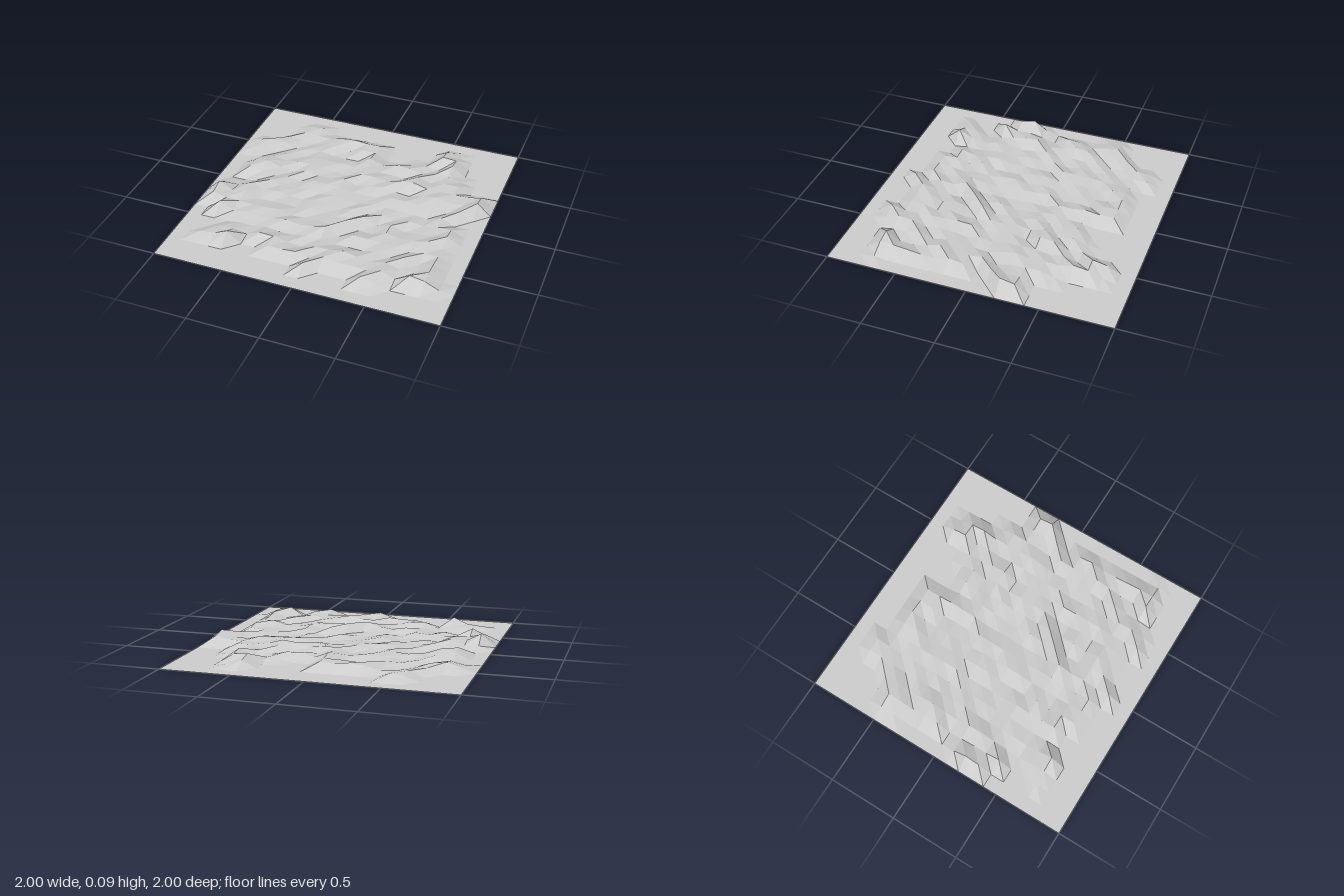
import * as THREE from 'three';

const CELLS = 20;

// Spans of raised ground per row, in tenths of a unit: row z -> [from x, to x] pairs
const spans = {
  '-8': [[-6, -5], [5, 6]], '-7': [[-6, 0], [5, 6]], '-6': [[-7, 0], [3, 6]],
  '-5': [[-9, 7]], '-4': [[-9, 7]], '-3': [[-8, 9]], '-2': [[-8, 9]],
  '-1': [[-8, 8]], 0: [[-7, 7]], 1: [[-9, 8]], 2: [[-9, 8]], 3: [[-9, 8]],
  4: [[-8, 8]], 5: [[-6, 8]], 6: [[-7, 8]], 7: [[-8, -6], [-3, 9]],
  8: [[0, 0], [4, 5]],
};

// Crests as runs of [x, z in tenths, height in hundredths]
const crests = [
  [[-6, -8, 3], [-5, -8, 4], [-6, -7, 4]],                     // back left shelf
  [[-3, -7, 5], [-2, -7, 6], [-1, -7, 5], [0, -6, 5], [0, -5, 6.5], [0, -4, 5]],
  [[5, -8, 5], [5, -7, 7], [6, -7, 6], [6, -6, 7.5]],          // back right hill
  [[-9, -5, 3], [-8, -5, 6]],
  [[3, -3, 6.5], [4, -3, 7.5], [4, -4, 6]],                    // middle crest
  [[6, -2, 6.5], [9, -3, 7], [9, -2, 9], [8, -1, 6]],          // right edge hill
  [[-7, -2, 7], [-8, -1, 6]],
  [[-9, 2, 9.5], [-9, 3, 7], [-8, 4, 8]],                      // left edge hill
  [[-6, 0, 5], [-7, 1, 6.5], [-7, 2, 6]],
  [[0, 4, 7.5], [1, 3, 8], [2, 2, 7]],                         // central diagonal ridge
  [[0, 8, 6], [1, 7, 6], [2, 6, 6.5]],                         // front diagonal ridge
  [[-4, 6, 5.5], [-6, 7, 8.5], [-5, 5, 1]],
  [[4, 8, 6], [5, 7, 6]],
  [[7, 7, 8], [8, 7, 6], [8, 6, 6], [8, 5, 5]],                // front right hill
  [[7, 3, 6.5], [8, 2, 6]],
];

// Small seeded generator for the rolling ground
function seeded(seed) {
  return () => {
    seed = (seed * 1664525 + 1013904223) % 4294967296;
    return seed / 4294967296;
  };
}

function buildHeights() {
  const heights = new Map();
  const random = seeded(17);
  for (const [z, runs] of Object.entries(spans)) {
    const nearRim = Math.abs(z) > 7;
    for (const [from, to] of runs) {
      for (let x = from; x <= to; x++) {
        heights.set(`${x},${z}`, (nearRim ? 0.01 : 0.012) + random() * (nearRim ? 0.015 : 0.04));
      }
    }
  }
  for (const [x, z, h] of crests.flat()) heights.set(`${x},${z}`, h / 100);
  return heights;
}

export function createModel() {
  const group = new THREE.Group();
  group.name = 'terrain';

  // Flat square sheet whose inner grid points are lifted into faceted hills
  const sheet = new THREE.PlaneGeometry(2, 2, CELLS, CELLS).rotateX(-Math.PI / 2);
  const heights = buildHeights();
  const pos = sheet.attributes.position;
  for (let i = 0; i < pos.count; i++) {
    const x = Math.round(pos.getX(i) * 10);
    const z = Math.round(pos.getZ(i) * 10);
    pos.setY(i, heights.get(`${x},${z}`) ?? 0);
  }
  const faceted = sheet.toNonIndexed();
  faceted.computeVertexNormals();

  const ground = new THREE.Mesh(faceted, new THREE.MeshStandardMaterial({
    color: 0xcccccc, flatShading: true, side: THREE.DoubleSide,
  }));
  ground.name = 'ground';
  group.add(ground);
  return group;
}
